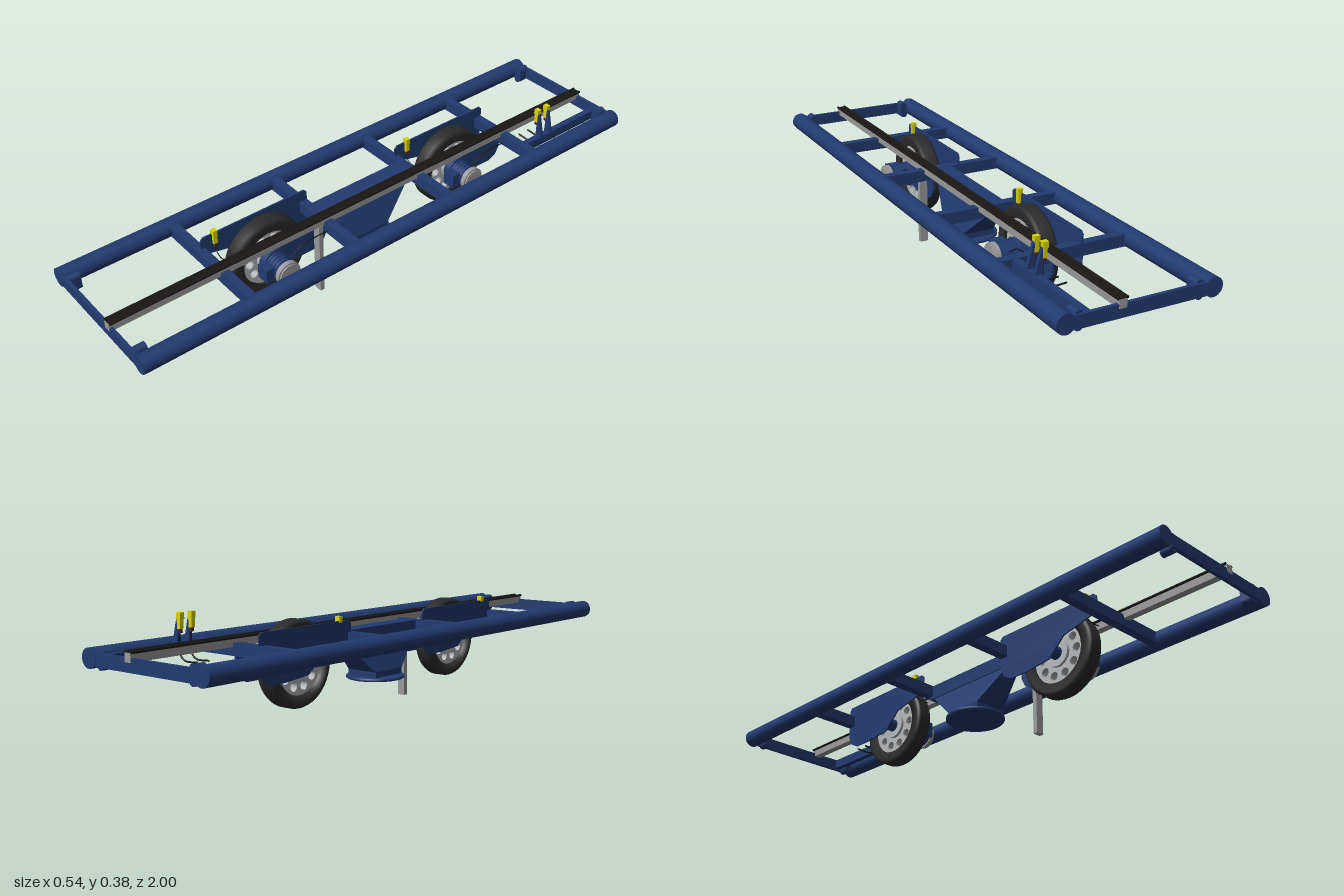
import * as THREE from 'three';

const mat = (name, color, side = THREE.FrontSide) => {
  const m = new THREE.MeshStandardMaterial({ color, side });
  m.name = name;
  return m;
};

export function createModel() {
  const root = new THREE.Group();
  root.name = 'railCarriageFrame';
  const blue = mat('frameBlue', 0x213b70);
  const rubber = mat('tireRubber', 0x2b2b2b);
  const steel = mat('rimSteel', 0xb4b6b8);
  const grey = mat('railGrey', 0x9a9a9a);
  const yellow = mat('sensorYellow', 0xd9d40a);
  const black = mat('cableBlack', 0x1a1714);
  const maroon = mat('connectorMaroon', 0x552238);

  const add = (parent, name, geo, m, x = 0, y = 0, z = 0) => {
    const mesh = new THREE.Mesh(geo, m);
    mesh.name = name;
    mesh.position.set(x, y, z);
    parent.add(mesh);
    return mesh;
  };
  // Box given by its minimum and maximum on each axis
  const box = (parent, name, m, x0, x1, y0, y1, z0, z1) =>
    add(parent, name, new THREE.BoxGeometry(x1 - x0, y1 - y0, z1 - z0), m, (x0 + x1) / 2, (y0 + y1) / 2, (z0 + z1) / 2);
  // Cylinder lying along x
  const xCyl = (parent, name, m, r, x0, x1, y, z, seg = 32) =>
    add(parent, name, new THREE.CylinderGeometry(r, r, x1 - x0, seg).rotateZ(Math.PI / 2), m, (x0 + x1) / 2, y, z);
  const poly = pts => new THREE.Shape(pts.map(p => new THREE.Vector2(...p)));
  // Plate drawn in (z, y), thickness centred on x
  const sidePlate = (parent, name, m, shape, x, t) =>
    add(parent, name, new THREE.ExtrudeGeometry(shape, { depth: t, bevelEnabled: false, curveSegments: 16 })
      .translate(0, 0, -t / 2).rotateY(-Math.PI / 2), m, x);
  const cable = (parent, name, m, pts, r) =>
    add(parent, name, new THREE.TubeGeometry(new THREE.CatmullRomCurve3(pts.map(p => new THREE.Vector3(...p))), 24, r, 8), m);

  // Main frame: long tubes, cross beams, end plates and end lugs
  const frame = new THREE.Group();
  frame.name = 'frame';
  root.add(frame);
  const lug = new THREE.Shape();
  lug.absarc(0, 0.017, 0.014, 0, Math.PI);
  lug.absarc(0, -0.017, 0.014, Math.PI, Math.PI * 2);
  const lugGeo = new THREE.ExtrudeGeometry(lug, { depth: 0.04, bevelEnabled: false }).translate(0, 0, -0.02);
  for (const s of [-1, 1]) {
    add(frame, 'longTube', new THREE.CylinderGeometry(0.031, 0.031, 2, 32).rotateX(Math.PI / 2), blue, s * 0.24, 0.266, 0);
    box(frame, 'endPlate', blue, -0.215, 0.215, 0.243, 0.285, s * 0.993 - 0.006, s * 0.993 + 0.006);
    for (const e of [-1, 1]) add(frame, 'endLug', lugGeo, blue, s * 0.197, 0.264, e * 0.972);
  }
  for (const z of [-0.6, -0.2, 0.2, 0.6])
    box(frame, 'crossBeam', blue, -0.22, 0.22, 0.245, 0.285, z - 0.015, z + 0.015);

  // Central pedestal: spine beam, tapered body and round foot
  const pedestal = new THREE.Group();
  pedestal.name = 'pedestal';
  root.add(pedestal);
  box(pedestal, 'spineBeam', blue, -0.03, 0.03, 0.235, 0.284, -0.2, 0.2);
  const body = new THREE.BoxGeometry(1, 0.105, 1);
  const p = body.attributes.position;
  for (let i = 0; i < p.count; i++) {
    const top = p.getY(i) > 0;
    p.setX(i, p.getX(i) * (top ? 0.05 : 0.12));
    p.setZ(i, p.getZ(i) * (top ? 0.37 : 0.14));
  }
  body.computeVertexNormals();
  add(pedestal, 'taperedBody', body, blue, 0, 0.1855, 0);
  box(pedestal, 'pedestalBase', blue, -0.06, 0.06, 0.11, 0.134, -0.07, 0.07);
  add(pedestal, 'roundFoot', new THREE.LatheGeometry(
    [[0, -0.006], [0.096, -0.006], [0.1, -0.003], [0.1, 0.003], [0.096, 0.006], [0, 0.006]]
      .map(q => new THREE.Vector2(...q)), 48), blue, 0, 0.107, 0);

  // Rounded cross-section of the tire, and a rim disc with a ring of holes
  const tireGeo = new THREE.LatheGeometry(
    [[0.1, -0.026], [0.128, -0.03], [0.138, -0.027], [0.142, -0.019], [0.142, 0.019], [0.138, 0.027], [0.128, 0.03], [0.1, 0.026], [0.1, -0.026]]
      .map(q => new THREE.Vector2(...q)), 48).rotateZ(Math.PI / 2);
  const rim = new THREE.Shape().absarc(0, 0, 0.101, 0, Math.PI * 2);
  for (let i = 0; i < 10; i++) {
    const a = i * Math.PI / 5;
    rim.holes.push(new THREE.Path().absarc(0.074 * Math.cos(a), 0.074 * Math.sin(a), 0.015, 0, Math.PI * 2, true));
  }

  // Arm plates, in wheel-centred (z, y)
  const longArm = poly([[0.19, 0.125], [0.2, 0.115], [0.2, 0.06], [0.06, 0.03], [0, -0.03], [-0.1, -0.04],
    [-0.17, -0.04], [-0.2, -0.025], [-0.215, 0.005], [-0.215, 0.115], [-0.205, 0.125]]);
  const shortArm = poly([[-0.03, 0.045], [-0.03, -0.03], [-0.1, -0.04], [-0.17, -0.04], [-0.2, -0.025],
    [-0.215, 0.005], [-0.215, 0.06], [-0.09, 0.06]]);

  // A sensor: yellow head on a maroon connector
  const sensor = (parent, x, y, z) => {
    box(parent, 'sensorHead', yellow, x - 0.009, x + 0.009, y + 0.03, y + 0.05, z - 0.008, z + 0.008);
    box(parent, 'sensorBody', yellow, x - 0.006, x + 0.008, y, y + 0.03, z - 0.007, z + 0.007);
    box(parent, 'sensorConnector', maroon, x - 0.004, x + 0.008, y - 0.012, y, z - 0.005, z + 0.005);
  };

  // Two identical drive units
  for (const z of [0.4, -0.4]) {
    const unit = new THREE.Group();
    unit.name = 'driveUnit';
    unit.position.set(0, 0.2, z);
    root.add(unit);
    add(unit, 'tire', tireGeo, rubber);
    sidePlate(unit, 'rimDisc', steel, rim, 0, 0.036);
    xCyl(unit, 'hub', steel, 0.045, -0.028, 0.028, 0, 0);
    xCyl(unit, 'axle', blue, 0.022, -0.064, 0.05, 0, 0);
    sidePlate(unit, 'longArm', blue, longArm, -0.06, 0.005);
    sidePlate(unit, 'shortArm', blue, shortArm, 0.04, 0.008);
    // Motor
    xCyl(unit, 'gearFlange', blue, 0.044, 0.03, 0.055, 0, 0);
    xCyl(unit, 'motorBody', blue, 0.038, 0.055, 0.118, 0, 0);
    for (let i = 0; i < 4; i++) xCyl(unit, 'coolingFin', blue, 0.041, 0.062 + i * 0.014, 0.066 + i * 0.014, 0, 0);
    xCyl(unit, 'motorCap', grey, 0.043, 0.116, 0.132, 0, 0);
    xCyl(unit, 'motorCapFace', grey, 0.037, 0.132, 0.137, 0, 0);
    box(unit, 'junctionBox', blue, 0.055, 0.103, -0.025, 0.027, 0.035, 0.067);
    // Arm end sensor
    sensor(unit, -0.055, 0.09, 0.15);
    cable(unit, 'sensorCable', black, [[-0.053, 0.08, 0.15], [-0.05, 0.06, 0.15], [-0.03, 0.05, 0.152], [0.0, 0.05, 0.152]], 0.002);
    cable(unit, 'motorCable', black, [[0.088, 0.02, -0.04], [0.09, 0.05, -0.09], [0.09, 0.055, -0.2]], 0.002);
  }

  // Power rail along the whole length and its support post
  const rail = new THREE.Group();
  rail.name = 'powerRail';
  root.add(rail);
  box(rail, 'railChannel', grey, 0.05, 0.076, 0.272, 0.299, -1, 1);
  box(rail, 'railTop', black, 0.05, 0.076, 0.299, 0.302, -0.998, 0.998);
  for (const x of [0.049, 0.077])
    add(rail, 'railConductor', new THREE.CylinderGeometry(0.0045, 0.0045, 1.996, 10).rotateX(Math.PI / 2), black, x, 0.301, 0);
  box(root, 'supportPost', grey, 0.048, 0.077, 0, 0.272, 0.222, 0.238);

  // Sensor station at the rear: side bar, upright bracket and two sensors
  const station = new THREE.Group();
  station.name = 'sensorStation';
  root.add(station);
  box(station, 'sideBar', blue, 0.158, 0.18, 0.25, 0.284, -0.99, -0.6);
  const bracket = poly([[0.154, 0.28], [0.18, 0.28], [0.158, 0.365], [0.154, 0.365]]);
  for (const z of [-0.69, -0.735]) {
    add(station, 'bracket', new THREE.ExtrudeGeometry(bracket, { depth: 0.012, bevelEnabled: false }), blue, 0, 0, z - 0.006);
    sensor(station, 0.147, 0.332, z);
    cable(station, 'sensorCable', black,
      [[0.152, 0.325, z], [0.152, 0.28, z], [0.148, 0.25, z], [0.13, 0.237, z], [0.07, 0.237, z]], 0.003);
  }
  return root;
}
